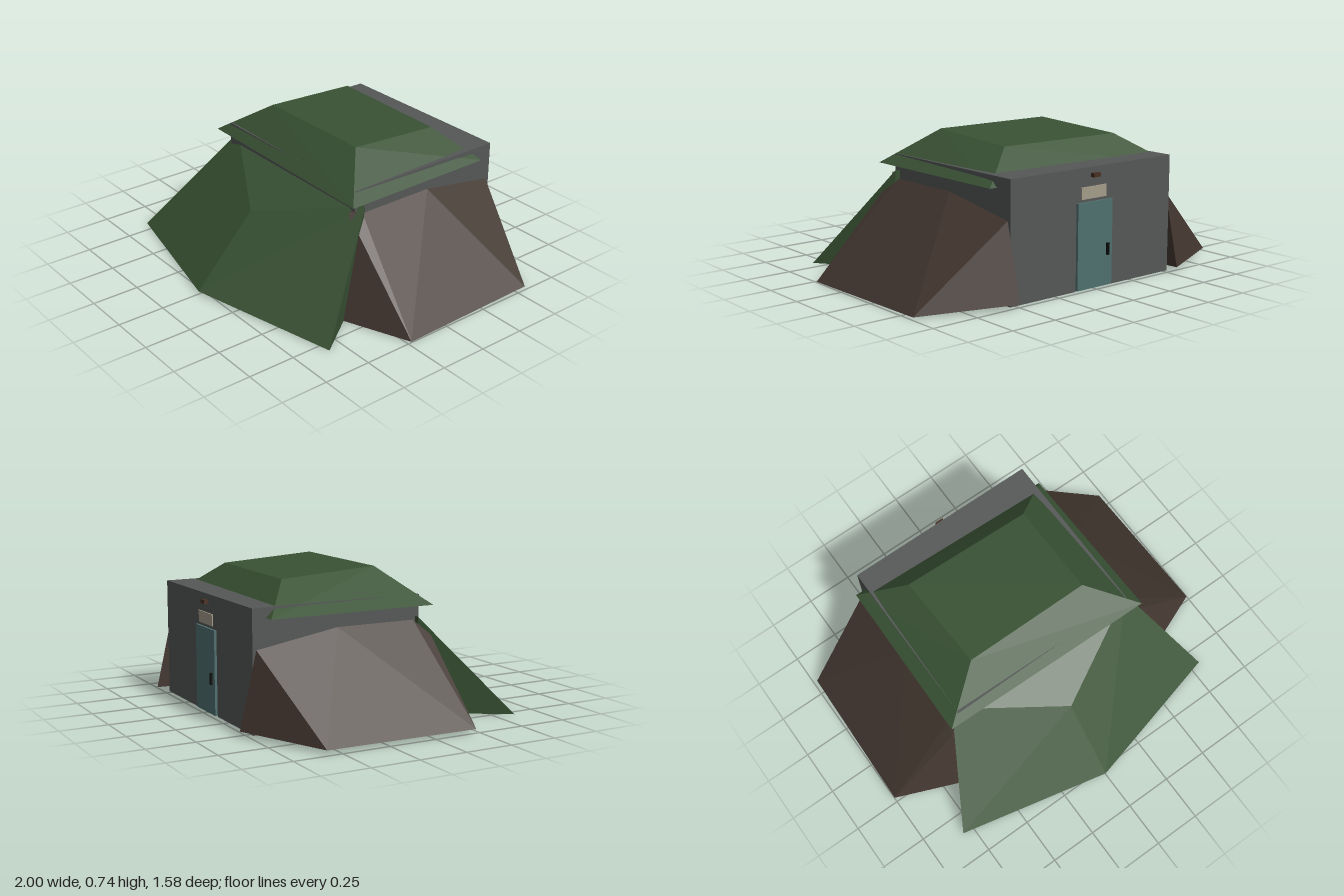
import * as THREE from 'three';
import { ConvexGeometry } from 'three/addons/geometries/ConvexGeometry.js';

const GREEN = 0x395234, BROWN = 0x42362f, CONCRETE = 0x555757;
const DOOR = 0x4f706e, SIGN = 0xa39c8a, DARK = 0x0a0a0a, RUST = 0x4a3022;

export function createModel() {
  const group = new THREE.Group();

  function add(name, geometry, color) {
    const mesh = new THREE.Mesh(geometry, new THREE.MeshStandardMaterial({ color, flatShading: true }));
    mesh.name = name;
    group.add(mesh);
    return mesh;
  }
  const box = (name, [w, h, d], [x, y, z], color) =>
    add(name, new THREE.BoxGeometry(w, h, d), color).position.set(x, y, z);
  // faceted earthwork spanned by its corner points
  const mound = (name, points, color) =>
    add(name, new ConvexGeometry(points.map((p) => new THREE.Vector3(...p))), color);

  // concrete bunker: plan with a doorway notch, then a solid upper part
  const W = 0.53, FRONT = 0.2, BACK = -0.72, DOOR_H = 0.44, TOP = 0.61;
  const plan = new THREE.Shape([
    [-W, -FRONT], [W, -FRONT], [W, -BACK], [0.115, -BACK], [0.115, 0.46],
    [-0.115, 0.46], [-0.115, -BACK], [-W, -BACK],
  ].map(([x, y]) => new THREE.Vector2(x, y)));
  const walls = new THREE.ExtrudeGeometry(plan, { depth: DOOR_H, bevelEnabled: false });
  walls.rotateX(-Math.PI / 2);
  add('lowerWalls', walls, CONCRETE);
  box('upperWalls', [2 * W, TOP - DOOR_H, FRONT - BACK], [0, (TOP + DOOR_H) / 2, (FRONT + BACK) / 2], CONCRETE);

  // entrance on the back wall
  box('doorwayInterior', [0.2, 0.4, 0.23], [0, 0.23, -0.59], DARK);
  box('door', [0.23, 0.435, 0.022], [0, 0.2225, -0.722], DOOR);
  box('doorHandle', [0.014, 0.06, 0.014], [-0.082, 0.19, -0.737], DARK);
  box('doorSign', [0.165, 0.06, 0.008], [0.005, 0.485, -0.723], SIGN);
  box('doorLamp', [0.045, 0.02, 0.03], [0, 0.57, -0.728], RUST);

  // grass cover on the roof, overhanging the front and the sides
  mound('roofMound', [
    [-0.6, 0.562, 0.24], [0.59, 0.562, 0.26], [0.57, 0.555, -0.62], [-0.59, 0.56, -0.65],
    [-0.34, 0.74, 0.05], [0.35, 0.74, 0.05], [0.35, 0.71, -0.46], [-0.36, 0.71, -0.48],
  ], GREEN);

  // grass bank in front, rising to a blunt ridge
  mound('frontMound', [
    [-0.81, 0.005, 0.6], [0, 0.015, 0.785], [0.81, 0, 0.58],
    [0, 0.37, 0.45], [-0.53, 0, 0.2], [0.53, 0, 0.2],
    [-0.46, 0.515, 0.19], [0.5, 0.51, 0.19],
    [-0.555, 0.5, 0.18], [0.56, 0.53, 0.16],
  ], GREEN);

  // earth banks on both sides
  for (const s of [-1, 1]) {
    const foot = s < 0 ? 0.02 : 0.004;
    mound(s < 0 ? 'rightBank' : 'leftBank', [
      [1, foot, 0.23], [0.98, foot, -0.57], [0.53, 0.03, -0.79], [0.53, 0.004, 0.42],
      [0.53, 0.41, -0.7], [0.54, 0.485, -0.27], [0.54, 0.485, 0.16], [0.6, 0.41, 0.23],
    ].map(([x, y, z]) => [s * x, y, z]), BROWN);
  }
  // small clod of earth at the front corner
  mound('earthClod', [
    [0.51, 0.5, 0.2], [0.545, 0.505, 0.2], [0.525, 0.51, 0.235], [0.54, 0.46, 0.235], [0.52, 0.47, 0.2],
  ], BROWN);

  return group;
}
